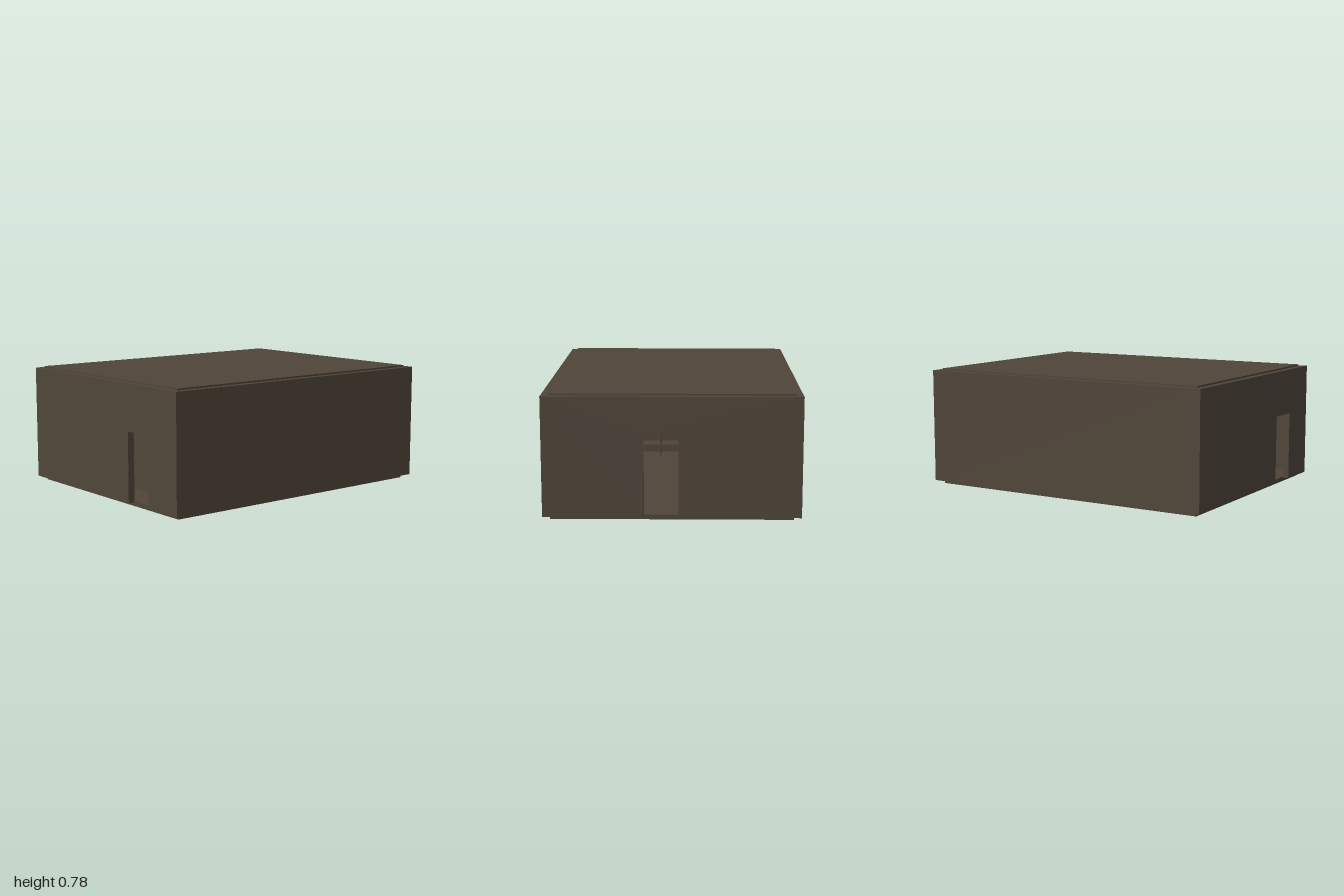
import * as THREE from 'three';

const X = 1, Z = 0.785, T = 0.043;      // outer half sizes and wall thickness
const BASE = 0.023, TOP = 0.765;        // bottom and top of the walls

export function createModel() {
  const group = new THREE.Group();
  const mat = new THREE.MeshStandardMaterial({ color: 0x50453a, flatShading: true });

  const add = (name, geo) => {
    const mesh = new THREE.Mesh(geo, mat);
    mesh.name = name;
    group.add(mesh);
    return mesh;
  };
  // box given by its lower and upper corners
  const box = (name, x0, x1, y0, y1, z0, z1) =>
    add(name, new THREE.BoxGeometry(x1 - x0, y1 - y0, z1 - z0))
      .position.set((x0 + x1) / 2, (y0 + y1) / 2, (z0 + z1) / 2);

  // floor and roof slabs fit between the walls and stand slightly proud
  box('floor', -X + T, X - T, 0, 0.03, -Z + T, Z - T);
  box('roof', -X + T, X - T, 0.75, 0.776, -Z + T, Z - T);

  // long walls
  box('frontWall', -X + T, X - T, BASE, TOP, Z - T, Z);
  box('backWall', -X + T, X - T, BASE, TOP, -Z, -Z + T);

  // end walls with a doorway cut up from the bottom edge
  const endWall = (name, x, z0, z1, doorTop) => {
    const pts = [[-Z, BASE], [z0, BASE], [z0, doorTop], [z1, doorTop],
      [z1, BASE], [Z, BASE], [Z, TOP], [-Z, TOP]];
    // shape is drawn in (-z, y) and turned to face along x
    const shape = new THREE.Shape(pts.map(([z, y]) => new THREE.Vector2(-z, y)));
    const geo = new THREE.ExtrudeGeometry(shape, { depth: T, bevelEnabled: false });
    geo.rotateY(Math.PI / 2);
    add(name, geo).position.x = x;
  };
  endWall('leftWall', X - T, -0.04, 0.17, 0.54);
  endWall('rightWall', -X, 0.295, 0.505, 0.47);

  // shelving that screens the second doorway
  const back = -0.74, front = -0.6, zi = Z - T;
  box('shelfBack', back, back + 0.012, 0.03, 0.6, -zi, zi);
  for (const y of [0.11, 0.215, 0.33, 0.46, 0.595])
    box('shelf', back + 0.012, front, y - 0.004, y + 0.004, -zi, zi);
  for (const z of [-0.73, -0.31, 0.11, 0.53, 0.73])
    box('shelfUpright', back + 0.012, front, 0.03, 0.6, z - 0.006, z + 0.006);

  return group;
}
